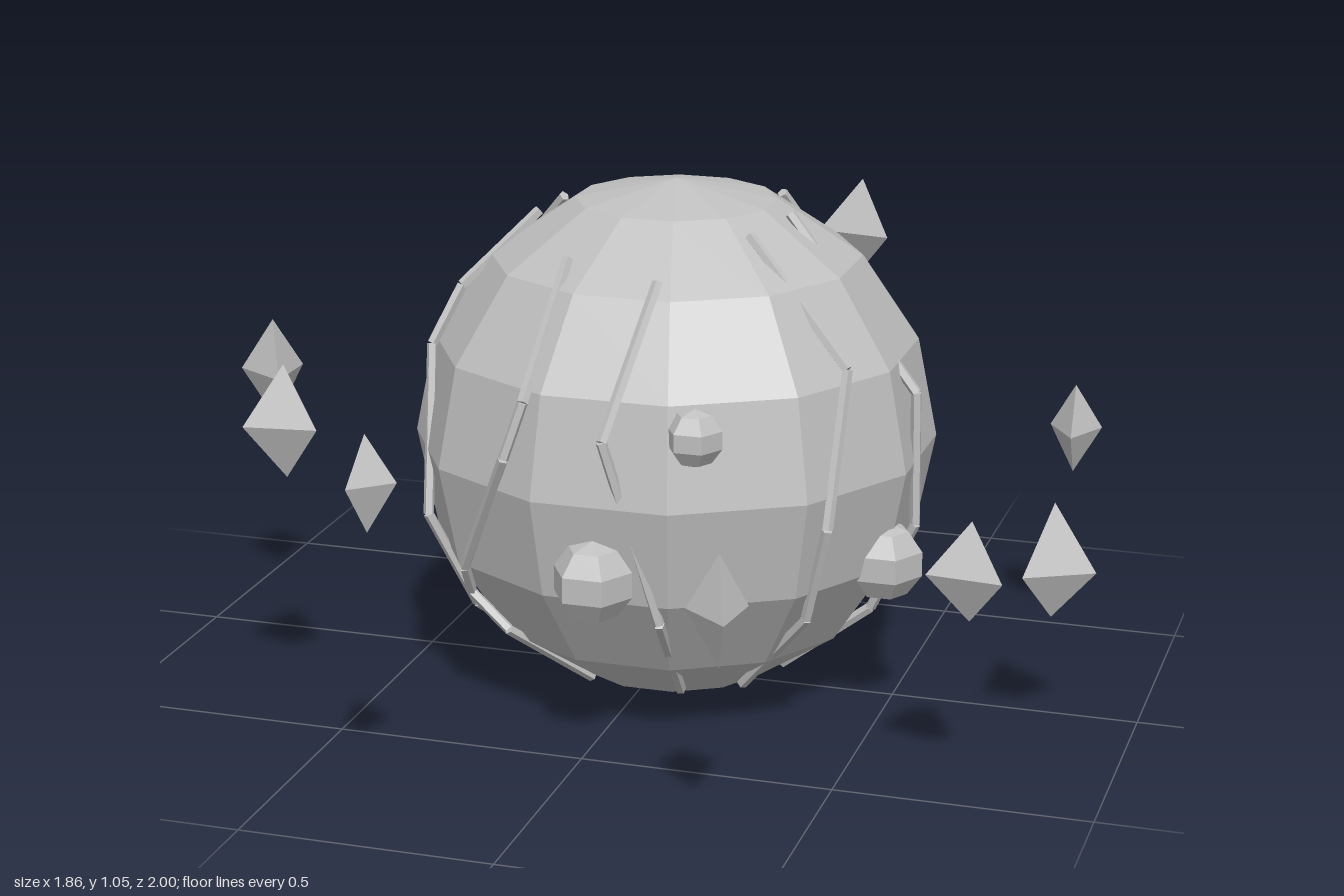
import * as THREE from 'three';

const CENTER = new THREE.Vector3(0.045, 0.528, 0.02);
const RADIUS = 0.525;
const rad = THREE.MathUtils.degToRad;

// Point on the globe from azimuth (0 = front, 90 = +x) and height
function onGlobe(azimuth, y, r = RADIUS) {
  const h = THREE.MathUtils.clamp(y - CENTER.y, -r, r);
  const ring = Math.sqrt(r * r - h * h);
  return new THREE.Vector3(Math.sin(rad(azimuth)) * ring, h, Math.cos(rad(azimuth)) * ring).add(CENTER);
}

// Three-sided double pyramid with its girdle at y = 0
function crystalGeometry(r, angle, up, down) {
  const ring = [0, 1, 2].map(i => {
    const a = rad(angle + i * 120);
    return [Math.cos(a) * r, 0, Math.sin(a) * r];
  });
  const points = [];
  for (let i = 0; i < 3; i++) {
    const a = ring[i], b = ring[(i + 1) % 3];
    points.push(...b, ...a, 0, up, 0, ...a, ...b, 0, -down, 0);
  }
  const g = new THREE.BufferGeometry();
  g.setAttribute('position', new THREE.Float32BufferAttribute(points, 3));
  g.computeVertexNormals();
  return g;
}

export function createModel() {
  const model = new THREE.Group();
  const stone = new THREE.MeshStandardMaterial({ color: 0xc0c0c0, flatShading: true });
  stone.name = 'grey stone';

  const add = (parent, name, geometry, position) => {
    const mesh = new THREE.Mesh(geometry, stone);
    mesh.name = name;
    mesh.position.copy(position);
    parent.add(mesh);
    return mesh;
  };
  const addGroup = name => {
    const g = new THREE.Group();
    g.name = name;
    model.add(g);
    return g;
  };

  // Faceted globe
  add(model, 'globe', new THREE.SphereGeometry(RADIUS, 12, 8), CENTER).rotation.y = rad(15);

  // Raised veins running from crown to base: [azimuth, height] points
  const veins = [
    [[11, 0.93], [1, 0.66], [13, 0.29], [19, 0.08]],
    [[-24, 0.95], [-19, 0.71], [-22, 0.6], [-41, 0.33], [-46, 0.26], [-38, 0.19], [-40, 0.04]],
    [[50, 0.99], [60, 0.76], [50, 0.47], [50, 0.27], [45, 0.08]],
    [[87, 1.0], [84, 0.67], [84, 0.4], [88, 0.2], [92, 0.05]],
    [[140, 0.99], [145, 0.71], [127, 0.43], [129, 0.33], [132, 0.06]],
    [[174, 0.98], [161, 0.76], [161, 0.48], [165, 0.32], [161, 0.08]],
    [[-147, 0.98], [-142, 0.74], [-140, 0.45], [-137, 0.25], [-135, 0.08]],
    [[-107, 0.98], [-112, 0.8], [-113, 0.61], [-106, 0.15]],
    [[-79, 0.98], [-70, 0.84], [-66, 0.73], [-57, 0.4], [-58, 0.2], [-66, 0.04]],
  ];
  const veinGroup = addGroup('veins');
  const up = new THREE.Vector3(0, 1, 0);
  for (const vein of veins) {
    const path = vein.map(([a, y]) => onGlobe(a, y, RADIUS + 0.003));
    for (let i = 1; i < path.length; i++) {
      const dir = path[i].clone().sub(path[i - 1]);
      const stick = add(veinGroup, 'vein', new THREE.CylinderGeometry(0.011, 0.011, dir.length(), 5),
        path[i].clone().add(path[i - 1]).multiplyScalar(0.5));
      stick.quaternion.setFromUnitVectors(up, dir.normalize());
    }
  }

  // Nodules half sunk in the surface: x, y, z, radius
  const nodules = [
    [0.03, 0.38, 0.5, 0.082], [0.22, 0.67, 0.48, 0.057], [0.54, 0.33, 0.15, 0.08],
    [-0.46, 0.45, -0.17, 0.073], [-0.29, 0.49, -0.395, 0.075],
    [-0.11, 0.39, -0.485, 0.06], [0.02, 0.64, -0.5, 0.055],
  ];
  const noduleGroup = addGroup('nodules');
  for (const [x, y, z, r] of nodules) {
    const p = new THREE.Vector3(x, y, z).sub(CENTER).setLength(0.515).add(CENTER);
    add(noduleGroup, 'nodule', new THREE.SphereGeometry(r, 6, 5), p);
  }

  // Ring of floating crystals: x, girdle y, z, radius, angle, height above, depth below
  const crystals = [
    [-0.155, 0.735, -0.905, 0.094, -100, 0.092, 0.098],
    [0.225, 0.765, -0.807, 0.094, 40, 0.115, 0.092],
    [-0.563, 0.4, -0.59, 0.063, 222, 0.098, 0.108],
    [0.785, 0.475, -0.395, 0.062, 87, 0.098, 0.09],
    [-0.86, 0.56, -0.04, 0.075, 180, 0.113, 0.106],
    [0.84, 0.355, 0.125, 0.086, 2, 0.135, 0.1],
    [-0.606, 0.625, 0.484, 0.085, 22, 0.118, 0.111],
    [0.75, 0.46, 0.48, 0.085, 36, 0.1, 0.096],
    [0.373, 0.468, 0.84, 0.066, 67, 0.112, 0.104],
    [-0.25, 0.685, 0.945, 0.056, 108, 0.09, 0.095],
  ];
  const crystalGroup = addGroup('crystals');
  for (const [x, y, z, ...shape] of crystals) {
    add(crystalGroup, 'crystal', crystalGeometry(...shape), new THREE.Vector3(x, y, z));
  }

  return model;
}
